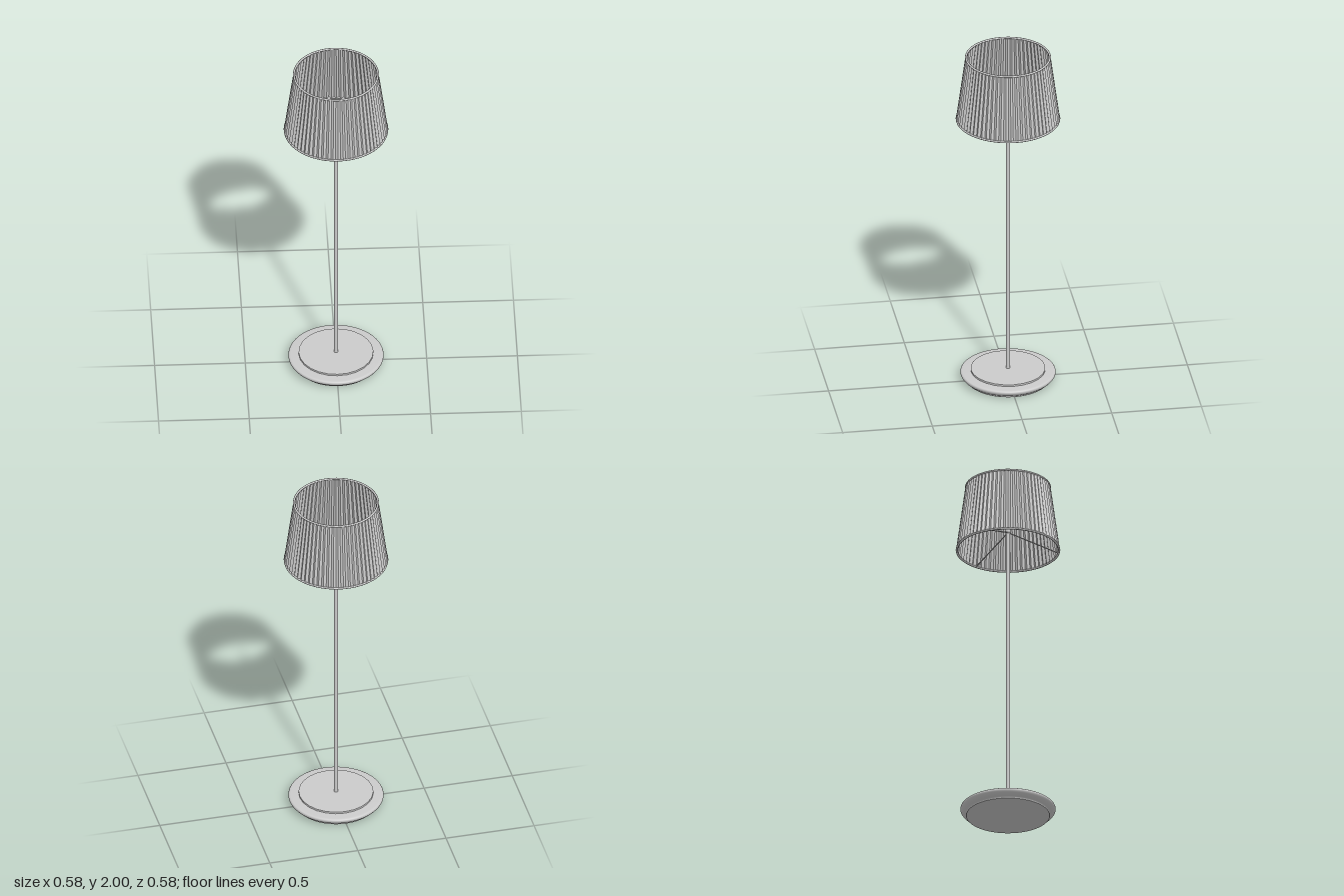
import * as THREE from 'three';

export function createModel() {
  const lamp = new THREE.Group();
  lamp.name = 'floorLamp';
  const smooth = new THREE.MeshStandardMaterial({ color: 0xcccccc });
  const pleated = new THREE.MeshStandardMaterial({ color: 0xcccccc, flatShading: true, side: THREE.DoubleSide });

  const add = (name, geometry, y = 0, material = smooth) => {
    const mesh = new THREE.Mesh(geometry, material);
    mesh.name = name;
    mesh.position.y = y;
    lamp.add(mesh);
    return mesh;
  };

  // Weighted foot: flat underside, undercut edge, rounded lip
  const v = (x, y) => new THREE.Vector2(x, y);
  const lip = new THREE.SplineCurve([
    v(0.23, 0.006), v(0.25, 0.02), v(0.262, 0.036), v(0.258, 0.049), v(0.235, 0.052), v(0.2, 0.054),
  ]).getPoints(18);
  add('baseRim', new THREE.LatheGeometry([v(0.23, 0), ...lip], 64));
  const underside = add('baseUnderside', new THREE.CircleGeometry(0.23, 64));
  underside.rotation.x = Math.PI / 2;

  // Raised plate on top of the foot
  add('basePlate', new THREE.CylinderGeometry(0.206, 0.206, 0.016, 24), 0.056);

  // Pole and ball on its tip
  const poleTop = 1.725;
  add('pole', new THREE.CylinderGeometry(0.012, 0.012, poleTop - 0.06, 24), (poleTop + 0.06) / 2);
  add('poleBall', new THREE.SphereGeometry(0.017, 24, 16), poleTop);

  // Three thin arms from the ball down to the lower shade ring
  for (let i = 0; i < 3; i++) {
    const a = Math.PI / 2 + (i * Math.PI * 2) / 3;
    const arm = new THREE.LineCurve3(
      new THREE.Vector3(0, poleTop - 0.005, 0),
      new THREE.Vector3(Math.cos(a) * 0.278, 1.616, Math.sin(a) * 0.278),
    );
    add('shadeArm' + (i + 1), new THREE.TubeGeometry(arm, 1, 0.0035, 8));
  }

  // Pleated shade: alternate columns are pulled inward
  const pleats = 64;
  const shade = new THREE.CylinderGeometry(0.235, 0.286, 0.38, pleats * 2, 1, true);
  const pos = shade.attributes.position;
  for (let i = 0; i < pos.count; i++) {
    const column = i % (pleats * 2 + 1);
    if (column % 2 === 0) continue;
    const k = pos.getY(i) > 0 ? 0.97 : 0.964;
    pos.setXYZ(i, pos.getX(i) * k, pos.getY(i), pos.getZ(i) * k);
  }
  shade.computeVertexNormals();
  add('shade', shade, 1.804, pleated);

  // Rings trimming the shade's openings
  for (const [name, radius, y] of [['shadeTopRing', 0.231, 1.994], ['shadeBottomRing', 0.282, 1.614]]) {
    const ring = new THREE.TorusGeometry(radius, 0.006, 10, 96);
    ring.rotateX(Math.PI / 2);
    add(name, ring, y);
  }

  return lamp;
}
